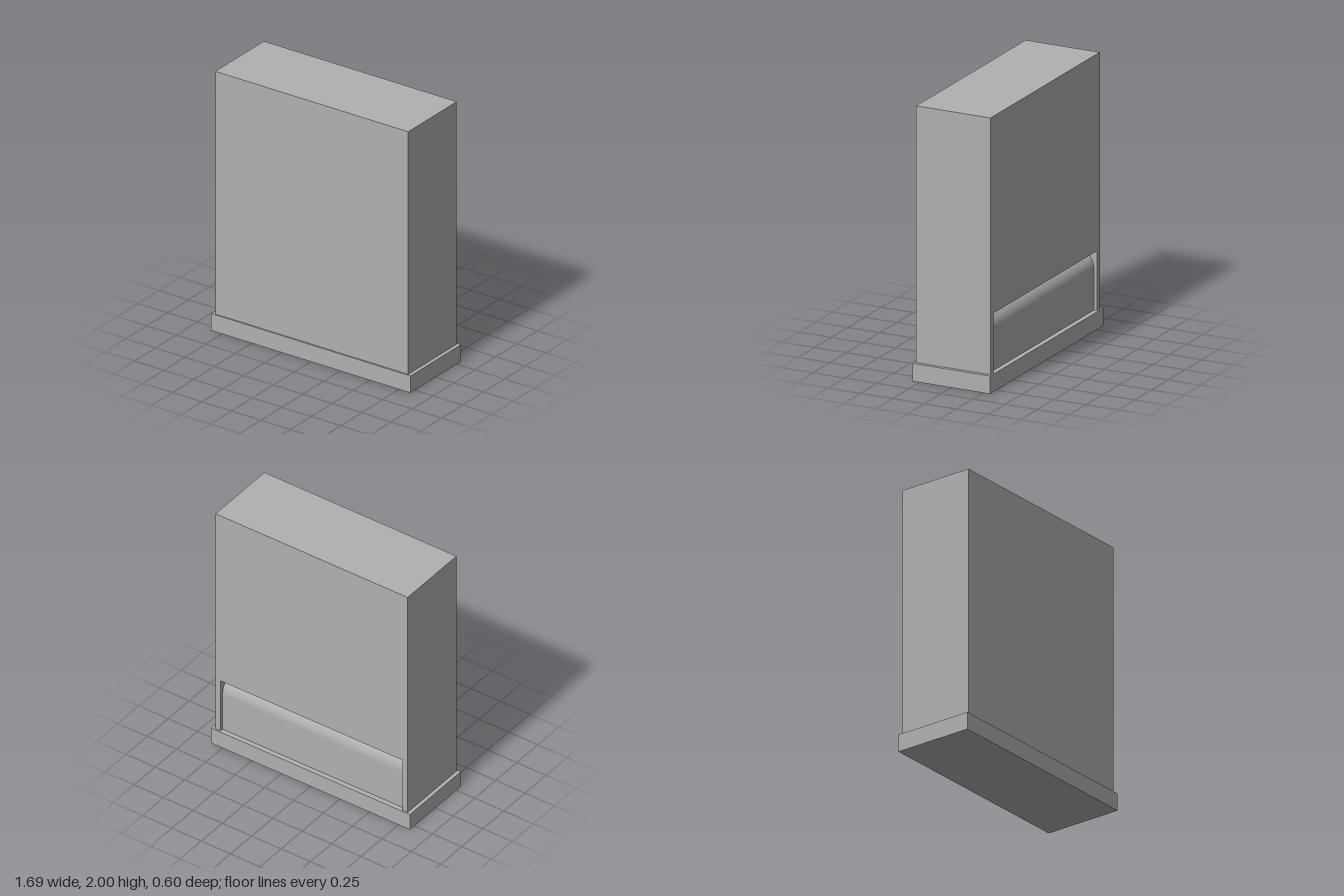
import * as THREE from 'three';
import { toCreasedNormals } from 'three/addons/utils/BufferGeometryUtils.js';

export function createModel() {
  const model = new THREE.Group();
  model.name = 'cabinet';
  const grey = new THREE.MeshStandardMaterial({ color: 0xb0b0b0 });
  grey.name = 'plain grey';

  const BASE_TOP = 0.13, TOP = 2, HALF_W = 0.818, HALF_D = 0.29;
  const SLOT_HALF_W = 0.775, SLOT_TOP = 0.565;
  const RECESS = 0.025, ROLL = 0.13, SPLIT = 0; // SPLIT: z where slotted back meets solid front

  const add = (name, geometry, x = 0, y = 0, z = 0) => {
    const mesh = new THREE.Mesh(geometry, grey);
    mesh.name = name;
    mesh.position.set(x, y, z);
    model.add(mesh);
  };

  // plinth
  add('base', new THREE.BoxGeometry(1.692, BASE_TOP, 0.604), 0, BASE_TOP / 2, 0);

  // solid front part of the body
  add('bodyFront', new THREE.BoxGeometry(HALF_W * 2, TOP - BASE_TOP, HALF_D - SPLIT),
    0, (TOP + BASE_TOP) / 2, (HALF_D + SPLIT) / 2);

  // back part of the body, with the wide slot cut out above the plinth
  const outline = new THREE.Shape([
    [-HALF_W, BASE_TOP], [-SLOT_HALF_W, BASE_TOP], [-SLOT_HALF_W, SLOT_TOP],
    [SLOT_HALF_W, SLOT_TOP], [SLOT_HALF_W, BASE_TOP], [HALF_W, BASE_TOP],
    [HALF_W, TOP], [-HALF_W, TOP],
  ].map(([x, y]) => new THREE.Vector2(x, y)));
  add('bodyBack', new THREE.ExtrudeGeometry(outline,
    { depth: HALF_D + SPLIT, bevelEnabled: false }), 0, 0, -HALF_D);

  // recessed panel whose top edge rolls inward (profile drawn in z, y)
  const zBack = -HALF_D + RECESS;
  const profile = new THREE.Shape();
  profile.moveTo(zBack, BASE_TOP);
  profile.lineTo(SPLIT, BASE_TOP);
  profile.lineTo(SPLIT, SLOT_TOP);
  profile.lineTo(zBack + ROLL, SLOT_TOP);
  profile.absarc(zBack + ROLL, SLOT_TOP - ROLL, ROLL, Math.PI / 2, Math.PI, false);
  profile.closePath();
  const panel = new THREE.ExtrudeGeometry(profile,
    { depth: SLOT_HALF_W * 2, bevelEnabled: false, curveSegments: 20 });
  panel.rotateY(-Math.PI / 2);
  add('slotPanel', toCreasedNormals(panel, 0.5), SLOT_HALF_W, 0, 0);

  return model;
}
